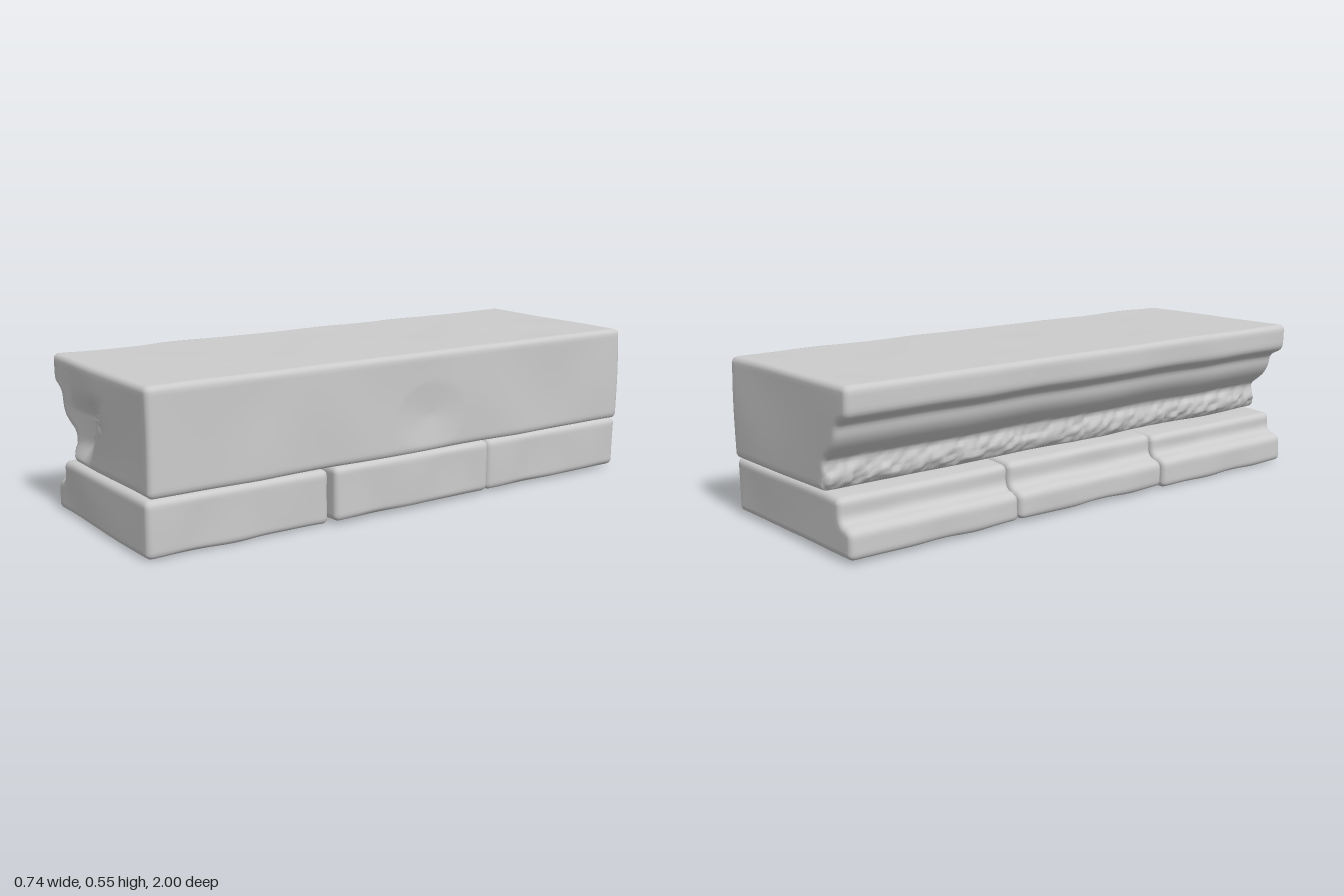
import * as THREE from 'three';

const wave = (a, b) => 0.5 * Math.sin(a * 9 + 2.1 * Math.sin(b * 5)) + 0.5 * Math.sin(b * 13 + 1.7 * Math.sin(a * 7 + 1));
const hash = (a, b) => { const s = Math.sin(a * 127.1 + b * 311.7) * 43758.5453; return s - Math.floor(s); };

// Closed counter-clockwise outline with softened corners, evenly resampled
function outline(corners, r, count) {
  const pts = corners.map(([x, y]) => new THREE.Vector2(x, y));
  const path = new THREE.Path();
  pts.forEach((p, i) => {
    const a = pts[(i + pts.length - 1) % pts.length], b = pts[(i + 1) % pts.length];
    const towards = (q) => p.clone().lerp(q, Math.min(0.45, r / p.distanceTo(q)));
    const s = towards(a), e = towards(b);
    if (i === 0) path.moveTo(s.x, s.y); else path.lineTo(s.x, s.y);
    path.quadraticCurveTo(p.x, p.y, e.x, e.y);
  });
  path.closePath();
  return path.getSpacedPoints(count).slice(0, count);
}

// Stone: outline swept from z0 to z1, rounded ends, closed caps, worn by a displacement rule
function stone(name, { corners, centre, z0, z1, rows, round = 0.02, wear }) {
  const n = 180, pts = outline(corners, 0.024, n), rings = [];
  const normals = pts.map((p, i) => {
    const t = pts[(i + 1) % n].clone().sub(pts[(i + n - 1) % n]).normalize();
    return new THREE.Vector2(t.y, -t.x);
  });
  const end = [];
  for (let k = 0; k <= 12; k++) end.push({ d: 0, inset: round, s: k / 12 });
  for (let k = 1; k <= 4; k++) {
    const a = (k / 4) * Math.PI / 2;
    end.push({ d: round * (1 - Math.cos(a)), inset: round * (1 - Math.sin(a)), s: 1 });
  }
  end.forEach((e) => rings.push({ ...e, z: z0 + e.d }));
  for (let k = 1; k < rows; k++) rings.push({ inset: 0, s: 1, z: z0 + round + (z1 - z0 - 2 * round) * k / rows });
  end.slice().reverse().forEach((e) => rings.push({ ...e, z: z1 - e.d }));

  const position = [], index = [];
  rings.forEach(({ z, inset, s }, j) => {
    pts.forEach((p, i) => {
      const q = normals[i], push = s === 1 ? wear.side(p.x, p.y, z, q) : wear.side(p.x, p.y, z, q) * s;
      const x = centre[0] + (p.x + q.x * (push - inset) - centre[0]) * s;
      const y = centre[1] + (p.y + q.y * (push - inset) - centre[1]) * s;
      position.push(x, y, z + wear.cap(x, y, z));
      if (j < rings.length - 1) {
        const a = j * n + i, b = j * n + (i + 1) % n;
        index.push(a, b, a + n, b, b + n, a + n);
      }
    });
  });
  const geometry = new THREE.BufferGeometry();
  geometry.setAttribute('position', new THREE.Float32BufferAttribute(position, 3));
  geometry.setIndex(index);
  geometry.computeVertexNormals();
  const mesh = new THREE.Mesh(geometry, new THREE.MeshStandardMaterial({ color: 0xcccccc }));
  mesh.name = name;
  return mesh;
}

export function createModel() {
  const group = new THREE.Group();
  group.name = 'stoneLedge';

  // Long upper slab with a moulded left side and a rough undercut band
  group.add(stone('upperSlab', {
    corners: [[-0.215, 0.194], [0.357, 0.194], [0.357, 0.544], [-0.368, 0.544], [-0.368, 0.448],
      [-0.305, 0.42], [-0.3, 0.378], [-0.282, 0.346], [-0.255, 0.318], [-0.224, 0.295], [-0.24, 0.25], [-0.235, 0.215]],
    centre: [0, 0.36], z0: -1, z1: 1, rows: 110,
    wear: {
      side: (x, y, z, q) => {
        const pits = x < -0.2 && y < 0.29 && y > 0.2 ? -0.012 * hash(Math.round(y * 50), Math.round(z * 56)) : 0;
        // shallow chips along the plain side
        const chip = q.x > 0.5 ? 0.012 * Math.max(0, 1 - Math.hypot((y - 0.32) / 0.12, (z + 0.08) / 0.15)) : 0;
        return pits - chip + 0.003 * wave(z * 1.3, x + y) * (Math.abs(q.x) > 0.3 ? 1 : 0.5) - 0.001;
      },
      cap: (x, y, z) => {
        // broad chipped hollow on the front end
        if (z < 0.9) return z < -0.9 ? 0.003 + 0.003 * wave(x, y) : 0;
        const across = (x + 0.08) * 0.9 - (y - 0.34) * 0.45;
        const hollow = Math.max(0, 1 - (across > 0 ? across / 0.07 : -across / 0.17));
        const fade = THREE.MathUtils.smoothstep(0.46 - y, 0, 0.09) * THREE.MathUtils.smoothstep(y, 0.19, 0.28);
        return -0.035 * hollow * fade - 0.003 + 0.003 * wave(x, y);
      },
    },
  }));

  // Three stepped base stones, each set slightly differently
  const bases = [
    { name: 'frontBase', z0: 0.338, z1: 1, right: 0.341, low: 0, top: 0.188 },
    { name: 'middleBase', z0: -0.335, z1: 0.328, right: 0.366, low: 0.01, top: 0.197 },
    { name: 'backBase', z0: -0.992, z1: -0.34, right: 0.354, low: 0.008, top: 0.195 },
  ];
  bases.forEach(({ name, z0, z1, right, low, top }) => group.add(stone(name, {
    corners: [[-0.365, low], [right, low], [right, top], [-0.23, top], [-0.305, top - 0.005], [-0.305, 0.12], [-0.365, 0.102]],
    centre: [0, 0.08], z0, z1, rows: 36,
    wear: {
      side: (x, y, z, q) => (Math.abs(q.x) > 0.3 ? 0.004 : 0.0015) * (wave(z * 2, y + x) - 0.6),
      cap: (x, y) => 0.003 * wave(x, y),
    },
  })));
  return group;
}
